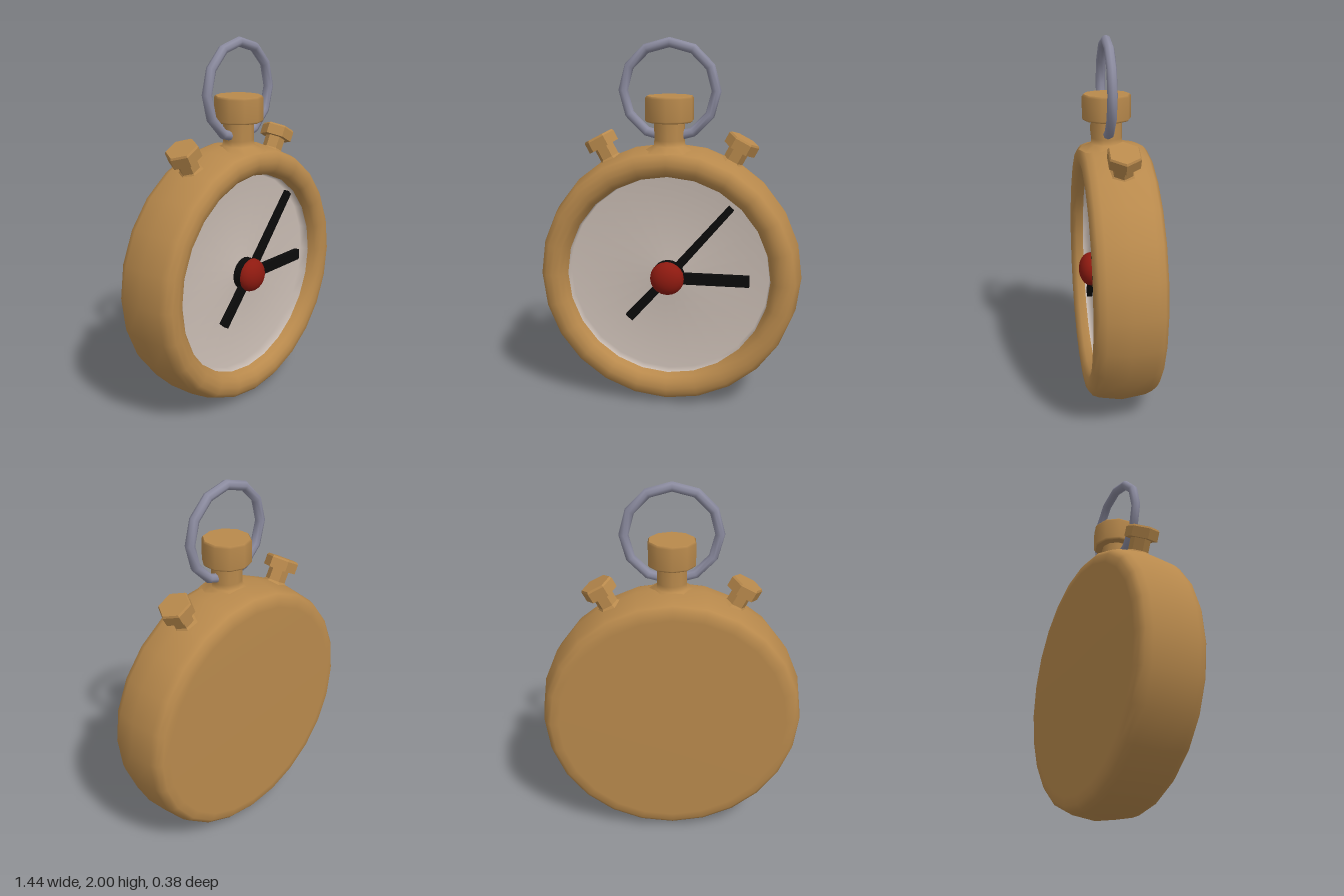
import * as THREE from 'three';

const CY = 0.726; // height of the case centre
const mat = (color, extra = {}) => new THREE.MeshStandardMaterial({ color, ...extra });
const pts = (list) => list.map(([r, h]) => new THREE.Vector2(r, h));

function add(parent, name, geometry, material, x = 0, y = 0, z = 0) {
  const mesh = new THREE.Mesh(geometry, material);
  mesh.name = name;
  mesh.position.set(x, y, z);
  parent.add(mesh);
  return mesh;
}

export function createModel() {
  const model = new THREE.Group();
  model.name = 'stopwatch';
  const brass = mat(0xb8894c);
  const brassFlat = mat(0xb8894c, { flatShading: true });
  const steel = mat(0x8c8ca0);
  const white = mat(0xc9bcb3);
  const black = mat(0x0a0a0a);
  const red = mat(0x8e1a10);

  // Case: closed back, bulging side and rounded front rim
  const caseGeo = new THREE.LatheGeometry(pts([
    [0, -0.19], [0.62, -0.19], [0.665, -0.185], [0.69, -0.165], [0.703, -0.13],
    [0.721, 0], [0.703, 0.12], [0.69, 0.155], [0.665, 0.175], [0.63, 0.18],
    [0.595, 0.172], [0.57, 0.15], [0.557, 0.11],
  ]), 24).rotateX(Math.PI / 2);
  add(model, 'case', caseGeo, brass, 0, CY, 0);

  // Dial: shallow wall, floor and raised centre in one smooth surface
  const dialGeo = new THREE.LatheGeometry(pts([
    [0.557, 0.11], [0.55, 0.06], [0.07, 0.06], [0.07, 0.1],
  ]), 24).rotateX(Math.PI / 2);
  add(model, 'dial', dialGeo, white, 0, CY, 0);

  // Hands and hub
  const hands = new THREE.Group();
  hands.name = 'hands';
  hands.position.set(0, CY, 0.095);
  model.add(hands);

  function hand(name, from, to, wFrom, wTo, angle) {
    const shape = new THREE.Shape(pts([
      [from, -wFrom / 2], [to, -wTo / 2], [to, wTo / 2], [from, wFrom / 2],
    ]));
    const geo = new THREE.ExtrudeGeometry(shape, { depth: 0.03, bevelEnabled: false });
    add(hands, name, geo, black).rotation.z = angle;
  }
  hand('longHand', 0, 0.525, 0.045, 0.035, 0.865);
  hand('handTail', 0, 0.32, 0.045, 0.05, 0.84 + Math.PI);
  hand('shortHand', 0, 0.445, 0.06, 0.06, 0);
  add(hands, 'hub', new THREE.CylinderGeometry(0.09, 0.09, 0.05, 20).rotateX(Math.PI / 2), black, 0, 0, 0.003);
  const dome = new THREE.SphereGeometry(0.093, 20, 8, 0, Math.PI * 2, 0, Math.PI / 2).rotateX(Math.PI / 2);
  add(hands, 'hubCap', dome.scale(1, 1, 0.72), red, 0, 0, 0.027);

  // Crown: flared stem and bevelled ten-sided knob
  const crown = new THREE.Group();
  crown.name = 'crown';
  crown.position.z = 0.032;
  model.add(crown);
  add(crown, 'crownStem', new THREE.LatheGeometry(pts([
    [0.15, 1.41], [0.085, 1.44], [0.082, 1.47], [0.082, 1.58],
  ]), 10), brass);
  const knob = [[[0, 1.565], [0.122, 1.565]], [[0.122, 1.565], [0.13, 1.575], [0.13, 1.69], [0.122, 1.701]], [[0.122, 1.701], [0, 1.701]]];
  for (const run of knob) add(crown, 'crownKnob', new THREE.LatheGeometry(pts(run), 10), brass);

  // Hanging ring
  add(model, 'ring', new THREE.TorusGeometry(0.247, 0.026, 8, 12), steel, 0, 1.727, 0.034);

  // Side buttons, mirrored
  for (const side of [1, -1]) {
    const button = new THREE.Group();
    button.name = side > 0 ? 'leftButton' : 'rightButton';
    button.position.set(0, CY, -0.005);
    button.rotation.z = -side * 0.487;
    model.add(button);
    const hex = (name, rTop, rBottom, y0, y1) => add(button, name,
      new THREE.CylinderGeometry(rTop, rBottom, y1 - y0, 6).rotateY(Math.PI / 6), brassFlat, 0, (y0 + y1) / 2, 0);
    hex('buttonBase', 0.055, 0.1, 0.68, 0.72);
    hex('buttonStem', 0.055, 0.055, 0.7, 0.8);
    hex('buttonCap', 0.09, 0.09, 0.785, 0.84);
    hex('buttonCapBevel', 0.083, 0.09, 0.84, 0.85);
  }
  return model;
}
